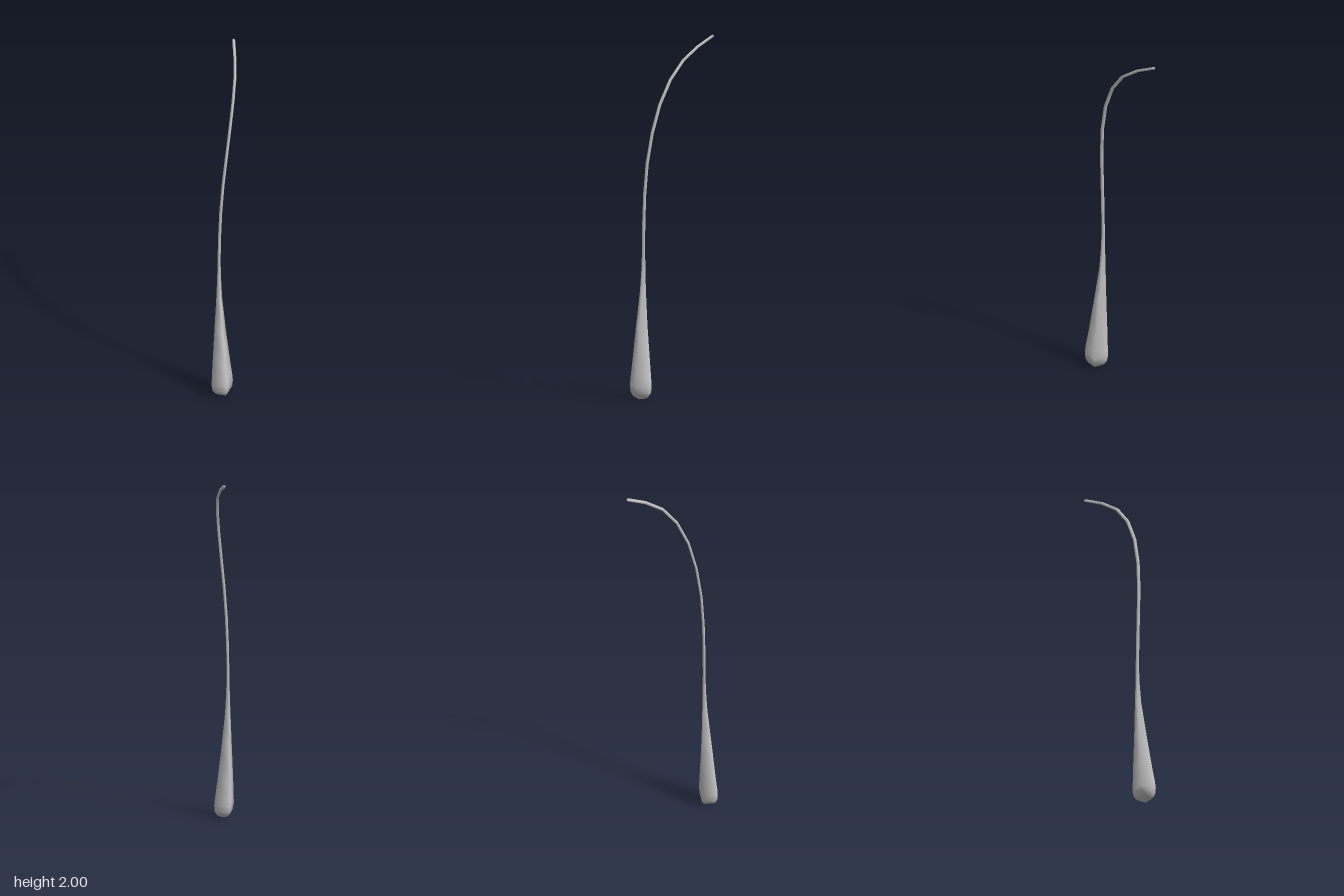
import * as THREE from 'three';

// Sweeps a four-sided ring along stations of [x, y, z, radius], closing both ends
function sweepSquare(stations, turn) {
  const centres = stations.map(([x, y, z]) => new THREE.Vector3(x, y, z));
  const up = new THREE.Vector3(0, 1, 0);
  const sides = 4, last = stations.length - 1;
  const positions = [], index = [];

  centres.forEach((c, r) => {
    const tangent = centres[Math.min(r + 1, last)].clone().sub(centres[Math.max(r - 1, 0)]).normalize();
    const tilt = new THREE.Quaternion().setFromUnitVectors(up, tangent);
    for (let i = 0; i < sides; i++) {
      const a = turn + (i / sides) * Math.PI * 2;
      const p = new THREE.Vector3(Math.cos(a), 0, -Math.sin(a)).multiplyScalar(stations[r][3]);
      p.applyQuaternion(tilt).add(c);
      positions.push(p.x, p.y, p.z);
      if (r < last) {
        const j = (i + 1) % sides, o = r * sides, n = o + sides;
        index.push(o + i, o + j, n + i, o + j, n + j, n + i);
      }
    }
  });

  // End caps
  const t = last * sides;
  index.push(0, 2, 1, 0, 3, 2, t, t + 1, t + 2, t, t + 2, t + 3);

  const geometry = new THREE.BufferGeometry();
  geometry.setAttribute('position', new THREE.Float32BufferAttribute(positions, 3));
  geometry.setIndex(index);
  geometry.computeVertexNormals();
  return geometry;
}

export function createModel() {
  const group = new THREE.Group();
  group.name = 'stalk';

  // Rounded foot, long tapering bulb, then a thin stem that arches over
  const stations = [
    [-0.156, 0.0, 0.119, 0.02],
    [-0.156, 0.012, 0.119, 0.045],
    [-0.156, 0.035, 0.119, 0.061],
    [-0.156, 0.07, 0.118, 0.066],
    [-0.156, 0.11, 0.116, 0.063],
    [-0.155, 0.2, 0.109, 0.054],
    [-0.153, 0.4, 0.097, 0.035],
    [-0.148, 0.6, 0.085, 0.018],
    [-0.146, 0.72, 0.082, 0.012],
    [-0.145, 0.82, 0.081, 0.0095],
    [-0.144, 0.97, 0.083, 0.0095],
    [-0.138, 1.14, 0.087, 0.0095],
    [-0.124, 1.31, 0.091, 0.0095],
    [-0.096, 1.48, 0.089, 0.0095],
    [-0.055, 1.64, 0.074, 0.0095],
    [0.0, 1.775, 0.04, 0.0095],
    [0.064, 1.875, -0.013, 0.0095],
    [0.136, 1.943, -0.09, 0.0095],
    [0.207, 1.99, -0.174, 0.0095],
    [0.212, 1.993, -0.18, 0.006],
  ];
  const material = new THREE.MeshStandardMaterial({ color: 0xcccccc });
  const stem = new THREE.Mesh(sweepSquare(stations, 1.277), material);
  stem.name = 'bulbAndStem';
  group.add(stem);
  return group;
}
